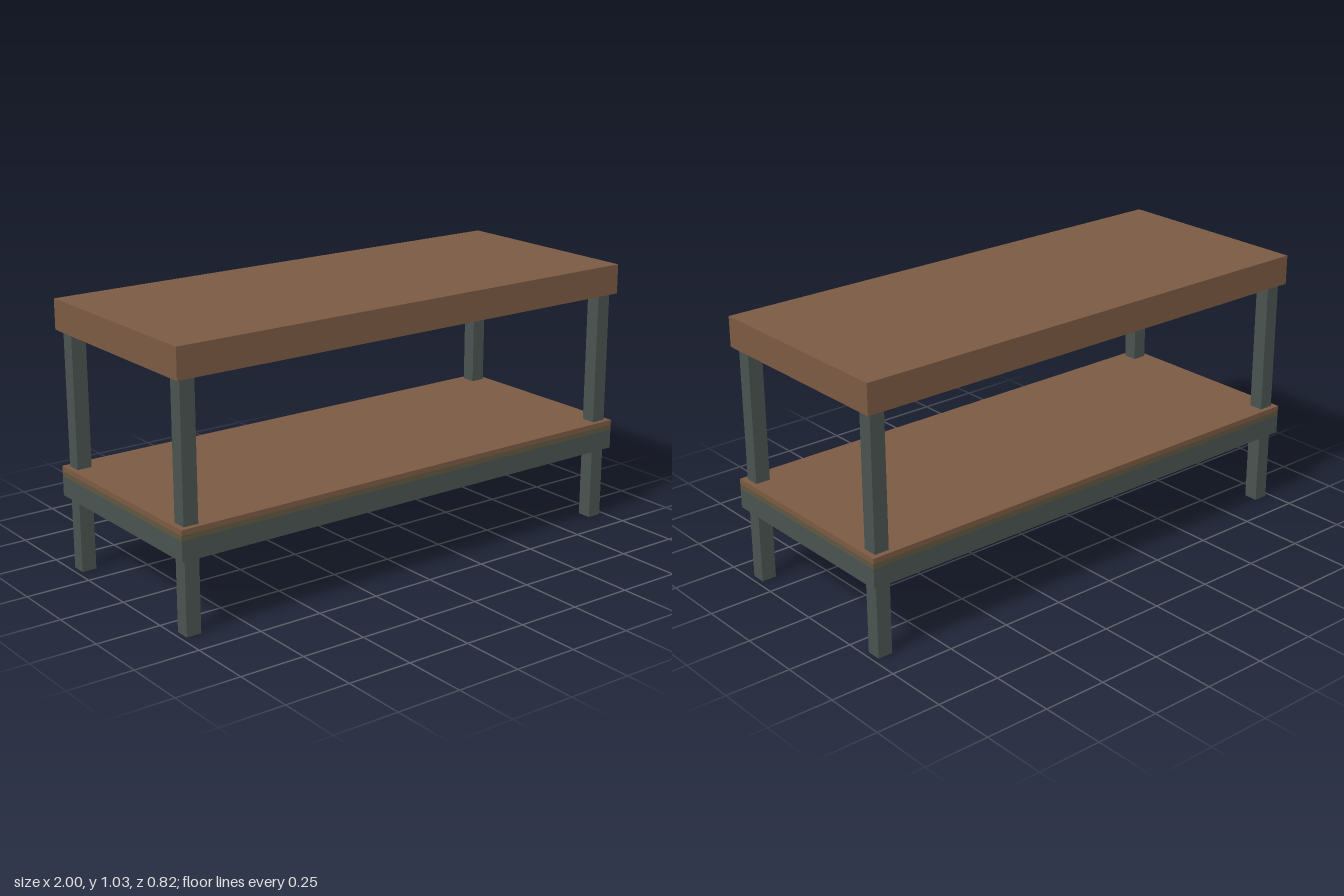
import * as THREE from 'three';

const mat = (name, color) => {
  const m = new THREE.MeshStandardMaterial({ color });
  m.name = name;
  return m;
};

export function createModel() {
  const wood = mat('brown wood', 0x7b5a42);
  const metal = mat('slate metal', 0x4a5351);
  const olive = mat('olive edge', 0x5f573f);
  const plum = mat('plum underside', 0x650a42);
  const indigo = mat('indigo lining', 0x413d5e);
  const blueGrey = mat('blue grey lining', 0x474c5b);

  const W = 1, D = 0.41, WALL = 0.02; // half width, half depth, apron thickness
  const IW = W - WALL, ID = D - WALL;
  const group = new THREE.Group();
  group.name = 'twoTierTable';

  // Box given by its minimum and maximum corners
  const box = (name, material, x0, x1, y0, y1, z0, z1) => {
    const mesh = new THREE.Mesh(new THREE.BoxGeometry(x1 - x0, y1 - y0, z1 - z0), material);
    mesh.position.set((x0 + x1) / 2, (y0 + y1) / 2, (z0 + z1) / 2);
    mesh.name = name;
    group.add(mesh);
  };

  // Full-size horizontal board
  const board = (name, material, y0, y1) => box(name, material, -W, W, y0, y1, -D, D);

  // Open rectangular frame below a board
  const apron = (name, material, y0, y1) => {
    const rect = (Type, w, d) => new Type([
      new THREE.Vector2(-w, -d), new THREE.Vector2(w, -d),
      new THREE.Vector2(w, d), new THREE.Vector2(-w, d),
    ]);
    const shape = rect(THREE.Shape, W, D);
    shape.holes.push(rect(THREE.Path, IW, ID));
    const geo = new THREE.ExtrudeGeometry(shape, { depth: y1 - y0, bevelEnabled: false });
    geo.rotateX(-Math.PI / 2);
    const mesh = new THREE.Mesh(geo, material);
    mesh.position.y = y0;
    mesh.name = name;
    group.add(mesh);
  };

  // Thin linings on the inner apron faces
  const T = 0.003;
  const longLining = (name, material, s, x0, x1, y0, y1) =>
    box(name, material, x0, x1, y0, y1, s > 0 ? ID - T : -ID, s > 0 ? ID : -ID + T);
  const endLining = (name, material, s, y0, y1) =>
    box(name, material, s > 0 ? IW - T : -IW, s > 0 ? IW : -IW + T, y0, y1, -ID, ID);

  // Table top with a hollow, plum-coloured underside
  board('topBoard', wood, 0.99, 1.03);
  apron('topApron', wood, 0.915, 0.99);
  box('topUnderside', plum, -IW, IW, 0.985, 0.99, -ID, ID);

  // Lower shelf: wood surface, olive edge band, metal frame
  board('shelfBoard', wood, 0.38, 0.4);
  board('shelfBand', olive, 0.36, 0.38);
  apron('shelfApron', metal, 0.285, 0.36);

  for (const s of [-1, 1]) {
    longLining('topLongLining', plum, s, -IW, IW, 0.918, 0.985);
    endLining('topEndLining', plum, s, 0.95, 0.985);
    longLining('shelfLongLiningRight', indigo, s, -IW, -0.14, 0.287, 0.36);
    longLining('shelfLongLiningLeft', blueGrey, s, -0.14, IW, 0.287, 0.36);
    endLining('shelfEndLining', blueGrey, s, 0.287, 0.36);
  }

  // Four legs set inside the aprons
  for (const sx of [-1, 1]) {
    for (const sz of [-1, 1]) {
      const x = sx * 0.95, z = sz * 0.3615;
      box('leg', metal, x - 0.029, x + 0.029, 0, 0.987, z - 0.0285, z + 0.0285);
    }
  }
  return group;
}
